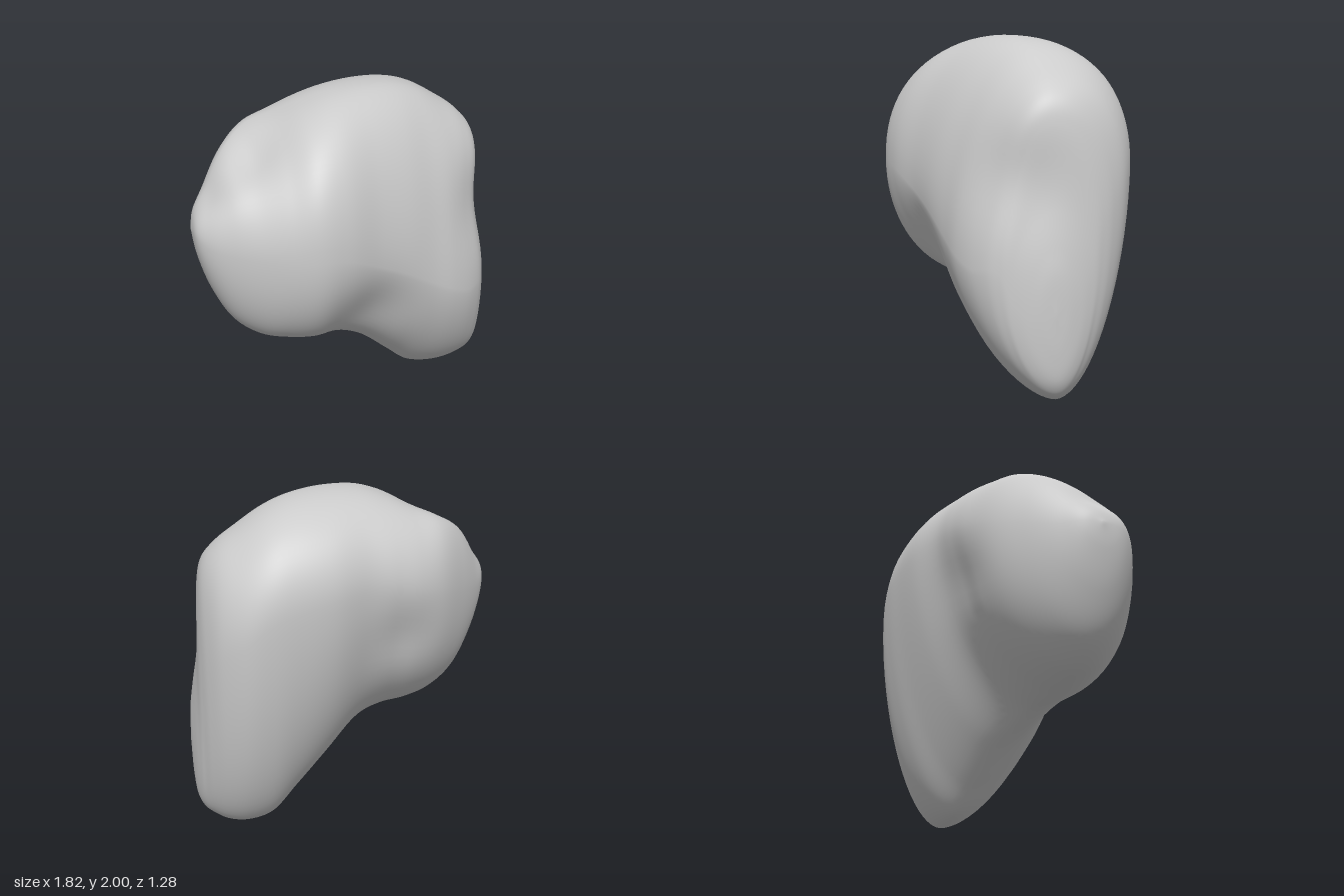
import * as THREE from 'three';

// Outline of each slice along x: [x, top y, bottom y, front z, back z]
const SLICES = [
  [-0.912, 1.35, 1.35, 0.23, 0.23],
  [-0.89, 1.45, 1.2, 0.35, 0.12],
  [-0.82, 1.57, 0.97, 0.43, 0.0],
  [-0.7, 1.73, 0.75, 0.5, -0.16],
  [-0.55, 1.82, 0.635, 0.56, -0.32],
  [-0.4, 1.875, 0.59, 0.61, -0.41],
  [-0.25, 1.94, 0.565, 0.635, -0.455],
  [-0.1, 1.985, 0.525, 0.605, -0.49],
  [0.1, 2.0, 0.37, 0.52, -0.575],
  [0.3, 1.98, 0.175, 0.45, -0.62],
  [0.45, 1.93, 0.035, 0.395, -0.64],
  [0.6, 1.84, 0.003, 0.345, -0.63],
  [0.72, 1.755, 0.02, 0.28, -0.57],
  [0.8, 1.66, 0.06, 0.21, -0.48],
  [0.838, 1.52, 0.085, 0.15, -0.41],
  [0.864, 1.12, 0.12, 0.08, -0.345],
  [0.888, 0.9, 0.18, 0.01, -0.28],
  [0.905, 0.75, 0.32, -0.06, -0.215],
  [0.912, 0.54, 0.54, -0.14, -0.14],
];

// Slice character along x: [x, crest and keel position (0 back, 1 front),
// height of the widest point in front and behind (0 bottom, 1 top),
// fullness of the upper front, upper back, lower back, lower front]
const CHARACTER = [
  [-0.92, 0.45, 0.5, 0.55, 0.6, 2.0, 2.0, 2.0, 2.0],
  [-0.6, 0.28, 0.6, 0.53, 0.67, 2.0, 2.1, 1.8, 2.1],
  [-0.25, 0.4, 0.57, 0.5, 0.69, 2.3, 2.1, 1.7, 2.0],
  [0.08, 0.5, 0.48, 0.46, 0.7, 2.05, 2.15, 1.7, 1.6],
  [0.45, 0.5, 0.45, 0.46, 0.73, 1.9, 2.2, 1.75, 1.55],
  [0.75, 0.47, 0.45, 0.43, 0.68, 2.0, 2.2, 1.85, 1.65],
  [0.92, 0.48, 0.44, 0.5, 0.52, 2.1, 2.1, 2.1, 2.0],
];

// Soft hollows: centre, radius, and the push at the centre
const HOLLOWS = [
  { at: [-0.74, 1.53, 0.24], radius: 0.13, push: [0.02, -0.05, 0] }, // groove over the pointed end
  { at: [-0.56, 1.7, 0.2], radius: 0.17, push: [0.02, -0.06, 0] },
  { at: [0.08, 0.78, 0.44], radius: 0.26, push: [0, 0, -0.05] }, // valley between lobe and leg
  { at: [0.84, 1.25, 0.12], radius: 0.28, push: [-0.045, 0, -0.045] }, // waist above the leg
  { at: [-0.32, 1.2, -0.42], radius: 0.2, push: [0, 0, 0.035] }, // back of the lobe
].map(({ at, radius, push }) => ({
  at: new THREE.Vector3(...at), radius, push: new THREE.Vector3(...push),
}));

function characterAt(x) {
  let k = 0;
  while (k < CHARACTER.length - 2 && x > CHARACTER[k + 1][0]) k++;
  const a = CHARACTER[k], b = CHARACTER[k + 1];
  const t = (x - a[0]) / (b[0] - a[0]);
  return a.slice(1).map((v, i) => THREE.MathUtils.lerp(v, b[i + 1], t));
}

// Point on a slice: four blended superellipse quadrants
function slicePoint([x, top, bottom, front, back], angle) {
  const [crest, keel, wideFront, wideBack, upFront, upBack, lowBack, lowFront] = characterAt(x);
  const c = Math.cos(angle), s = Math.sin(angle);
  const isFront = c >= 0, isTop = s >= 0;
  const power = isTop ? (isFront ? upFront : upBack) : (isFront ? lowFront : lowBack);
  const u = Math.abs(c) ** (2 / power), v = Math.abs(s) ** (2 / power);
  const zMid = THREE.MathUtils.lerp(back, front, isTop ? crest : keel);
  const yMid = THREE.MathUtils.lerp(bottom, top, isFront ? wideFront : wideBack);
  return new THREE.Vector3(
    x,
    THREE.MathUtils.lerp(yMid, isTop ? top : bottom, v),
    THREE.MathUtils.lerp(zMid, isFront ? front : back, u),
  );
}

function bodyGeometry(around = 80, along = 144) {
  const rails = [];
  for (let j = 0; j < around; j++) {
    const points = SLICES.map((slice) => slicePoint(slice, (j / around) * Math.PI * 2));
    rails.push(new THREE.CatmullRomCurve3(points));
  }

  // Rings between the two end points, pressed in at the hollows
  const positions = [];
  const add = (p) => {
    const q = p.clone();
    for (const { at, radius, push } of HOLLOWS) {
      q.addScaledVector(push, Math.exp(-p.distanceToSquared(at) / radius ** 2));
    }
    positions.push(q.x, Math.max(q.y, 0), q.z);
  };
  for (let i = 1; i < along; i++) rails.forEach((rail) => add(rail.getPoint(i / along)));
  add(rails[0].getPoint(0));
  add(rails[0].getPoint(1));

  const index = [];
  const rings = along - 1, start = rings * around, end = start + 1;
  for (let j = 0; j < around; j++) {
    const n = (j + 1) % around;
    index.push(start, j, n);
    for (let i = 0; i < rings - 1; i++) {
      const a = i * around, b = a + around;
      index.push(a + j, b + j, a + n, b + j, b + n, a + n);
    }
    const last = (rings - 1) * around;
    index.push(last + j, end, last + n);
  }

  const geometry = new THREE.BufferGeometry();
  geometry.setAttribute('position', new THREE.Float32BufferAttribute(positions, 3));
  geometry.setIndex(index);
  geometry.computeVertexNormals();
  return geometry;
}

export function createModel() {
  const group = new THREE.Group();
  group.name = 'smoothStone';
  const body = new THREE.Mesh(bodyGeometry(), new THREE.MeshStandardMaterial({ color: 0xcccccc }));
  body.name = 'stoneBody';
  group.add(body);
  return group;
}
